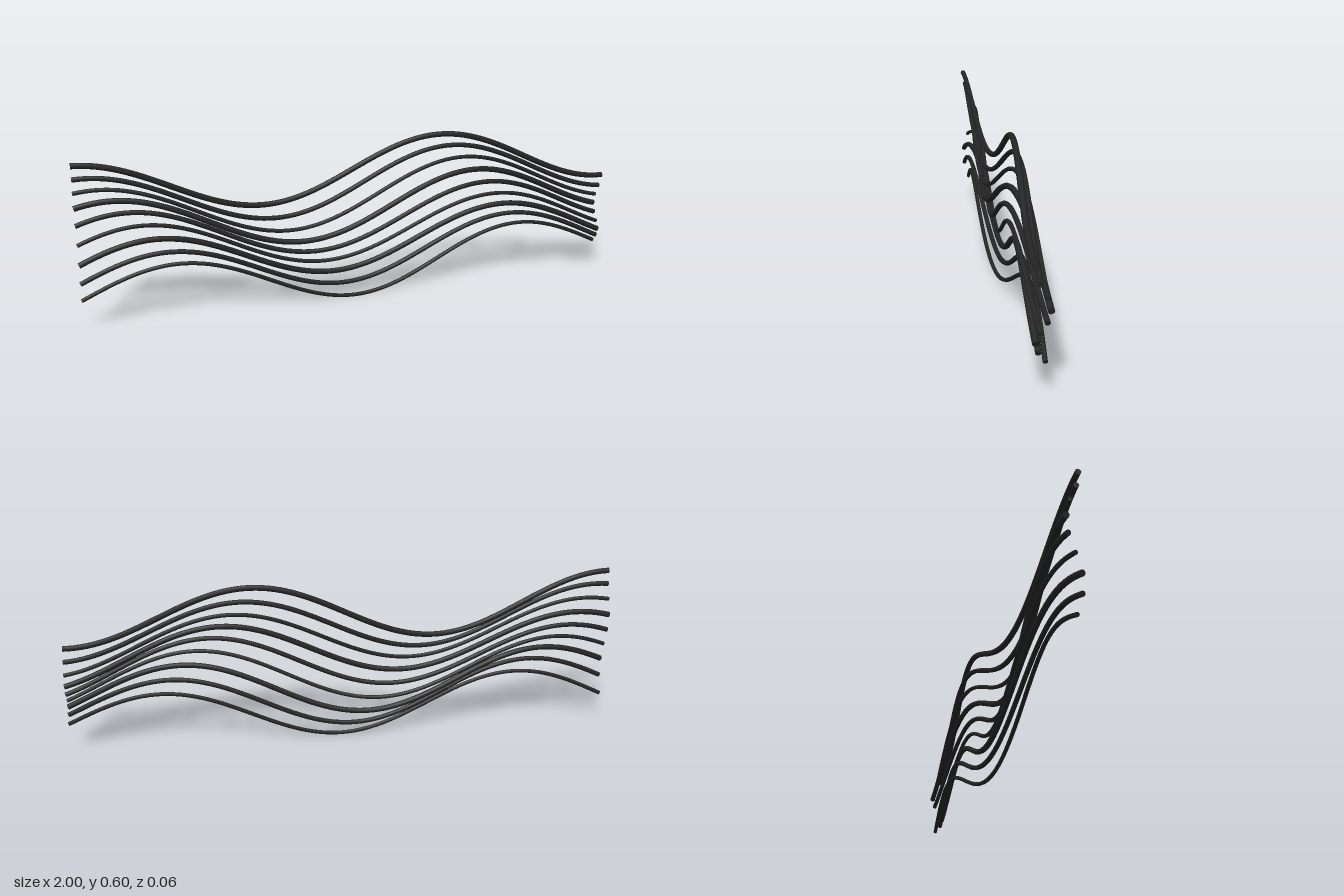
import * as THREE from 'three';

const STRANDS = 9;
const RADII = [0.0075, 0.009, 0.0105];

// Centre line of one wavy strand: a vertical wave plus a small sway in depth
class StrandCurve extends THREE.Curve {
  constructor(index) {
    super();
    this.index = index;
  }
  getPoint(t, target = new THREE.Vector3()) {
    const i = this.index;
    return target.set(
      (2 * t - 1) * 0.997,
      0.111 + 0.0476 * i + 0.1027 * Math.sin(3 * Math.PI * t + 0.2 * i),
      0.0215 * Math.sin(6 * t + i)
    );
  }
}

export function createModel() {
  const group = new THREE.Group();
  group.name = 'wavyStrands';
  const charcoal = new THREE.MeshStandardMaterial({ color: 0x252525, side: THREE.DoubleSide });
  charcoal.name = 'charcoal';

  // Stacked strands, thickness cycling through three sizes
  for (let i = 0; i < STRANDS; i++) {
    const curve = new StrandCurve(i);
    const radius = RADII[i % 3];
    const strand = new THREE.Mesh(new THREE.TubeGeometry(curve, 96, radius, 8, false), charcoal);
    strand.name = `strand${i + 1}`;
    group.add(strand);

    // Flat end caps
    for (const t of [0, 1]) {
      const cap = new THREE.Mesh(new THREE.CircleGeometry(radius, 8), charcoal);
      cap.name = `strandEnd${i + 1}`;
      const outward = curve.getTangent(t).multiplyScalar(t ? 1 : -1);
      cap.position.copy(curve.getPoint(t));
      cap.quaternion.setFromUnitVectors(new THREE.Vector3(0, 0, 1), outward);
      group.add(cap);
    }
  }
  return group;
}
